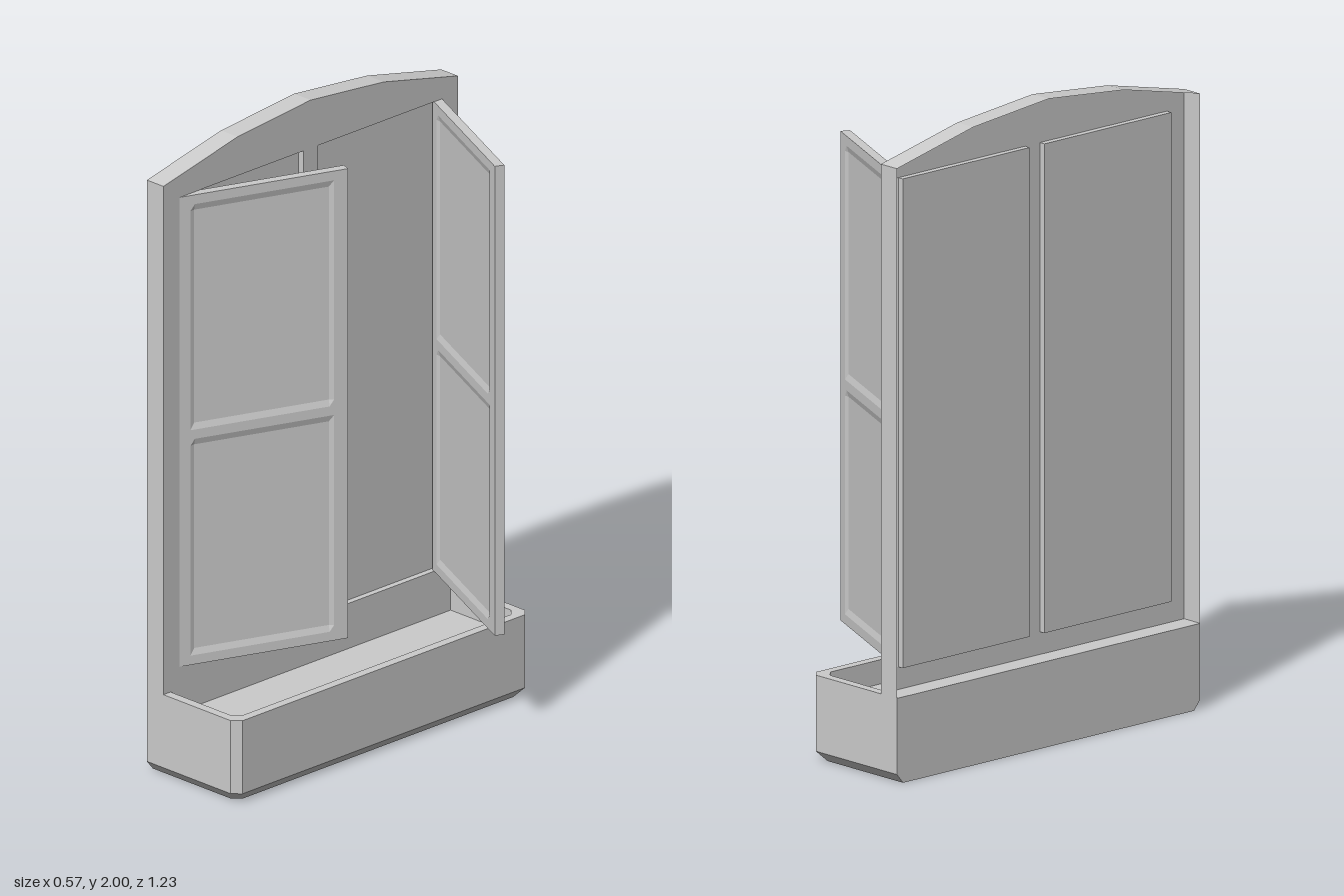
import * as THREE from 'three';

const BACK = -0.285, WALL = -0.215, PANE = -0.235, FRONT = 0.095;
const HALF = 0.615, RIM_Y = 0.265;
const WIN = { in: 0.03, out: 0.545, bottom: 0.335, top: 1.845 };

const solid = new THREE.MeshStandardMaterial({ color: 0xcccccc, flatShading: true });
const thin = new THREE.MeshStandardMaterial({ color: 0xcccccc, flatShading: true, side: THREE.DoubleSide });

function named(name, geometry, material) {
  const mesh = new THREE.Mesh(geometry, material);
  mesh.name = name;
  return mesh;
}

function fromTriangles(points) {
  const g = new THREE.BufferGeometry().setFromPoints(points);
  g.computeVertexNormals();
  return g;
}

// Plan outline of the trough: square at the back, chamfered at the front
function ring(y, inset, back) {
  const c = 0.025, w = HALF - inset, f = FRONT - inset;
  return [[back, -w], [f - c, -w], [f, c - w], [f, w - c], [f - c, w], [back, w]]
    .map(([x, z]) => new THREE.Vector3(x, y, z));
}

// Closed loft through rings, capped at both ends
function loft(rings) {
  const tris = [], n = rings[0].length, last = rings[rings.length - 1];
  for (let i = 0; i < rings.length - 1; i++) {
    const a = rings[i], b = rings[i + 1];
    for (let j = 0; j < n; j++) {
      const k = (j + 1) % n;
      tris.push(a[j], b[j], b[k], a[j], b[k], a[k]);
    }
  }
  for (let j = 1; j < n - 1; j++) {
    tris.push(rings[0][0], rings[0][j], rings[0][j + 1]);
    tris.push(last[0], last[j + 1], last[j]);
  }
  return fromTriangles(tris);
}

// Strip following a [z, y] path between two x positions
function band(path, x0, x1) {
  const tris = [];
  for (let i = 0; i < path.length - 1; i++) {
    const [p, q] = [path[i], path[i + 1]];
    const a = new THREE.Vector3(x0, p[1], p[0]), b = new THREE.Vector3(x1, p[1], p[0]);
    const c = new THREE.Vector3(x1, q[1], q[0]), d = new THREE.Vector3(x0, q[1], q[0]);
    tris.push(a, b, c, a, c, d);
  }
  return fromTriangles(tris);
}

// Flat face in the z-y plane, facing +x
function face(path, x, holes = []) {
  const toPoints = (p) => p.map(([z, y]) => new THREE.Vector2(-z, y));
  const shape = new THREE.Shape(toPoints(path));
  shape.holes = holes.map((h) => new THREE.Path(toPoints(h)));
  return new THREE.ShapeGeometry(shape).rotateY(Math.PI / 2).translate(x, 0, 0);
}

// Shutter leaf: a box whose grid lines are moved to form two shallow panels per side
function shutterGeometry(inner, trim) {
  const L = 0.549, H = WIN.top - WIN.bottom, T = 0.03, depth = 0.006;
  const us = [0, 0.035, 0.05, L - 0.06, L - 0.045, L];
  const vs = [0, 0.03, 0.05, 0.705, 0.725, 0.755, 0.775, H - 0.05, H - 0.03, H];
  const sunkU = [2, 3], sunkV = [2, 3, 6, 7];
  const g = new THREE.BoxGeometry(1, 1, 1, us.length - 1, vs.length - 1, 1);
  const pos = g.attributes.position;
  for (let i = 0; i < pos.count; i++) {
    const iu = Math.round((pos.getX(i) + 0.5) * (us.length - 1));
    const iv = Math.round((pos.getY(i) + 0.5) * (vs.length - 1));
    const side = Math.sign(pos.getZ(i));
    const sunk = sunkU.includes(iu) && sunkV.includes(iv) ? depth : 0;
    // the hinge edge is trimmed so it stays inside the window recess
    const u = us[iu] + (iu === 0 && side === inner ? trim : 0);
    pos.setXYZ(i, u, vs[iv], side * (T / 2 - sunk) + inner * T / 2);
  }
  g.computeVertexNormals();
  return g;
}

export function createModel() {
  const model = new THREE.Group();
  model.name = 'shutteredWindowWithPlanter';

  // Trough with bevelled foot, rim and sunken floor
  model.add(named('planterTrough', loft([
    ring(0, 0.025, BACK), ring(0.03, 0, BACK), ring(RIM_Y, 0, BACK),
    ring(RIM_Y, 0.03, WALL), ring(0.19, 0.03, WALL),
  ]), solid));

  // Arched wall, open at the back
  const outline = [[HALF, RIM_Y], [HALF, 1.9], [0.305, 1.97], [0, 2],
    [-0.305, 1.97], [-HALF, 1.9], [-HALF, RIM_Y]];
  const windows = [1, -1].map((s) => [
    [s * WIN.in, WIN.bottom], [s * WIN.out, WIN.bottom],
    [s * WIN.out, WIN.top], [s * WIN.in, WIN.top]]);
  model.add(named('wallFace', face(outline, WALL, windows), thin));
  model.add(named('wallEdge', band(outline, BACK, WALL), thin));

  // Recessed window panes
  for (const w of windows) {
    model.add(named('windowPane', face(w, PANE), thin));
    model.add(named('windowReveal', band([...w, w[0]], PANE, WALL), thin));
  }

  // Two shutters standing open at different angles
  const leaves = [
    { name: 'wideOpenShutter', z: -0.549, angle: -24.9, inner: 1, trim: 0 },
    { name: 'halfOpenShutter', z: 0.547, angle: 69.6, inner: -1, trim: 0.037 },
  ];
  for (const { name, z, angle, inner, trim } of leaves) {
    const leaf = named(name, shutterGeometry(inner, trim), solid);
    leaf.position.set(WALL, WIN.bottom, z);
    leaf.rotation.y = THREE.MathUtils.degToRad(angle);
    model.add(leaf);
  }
  return model;
}
